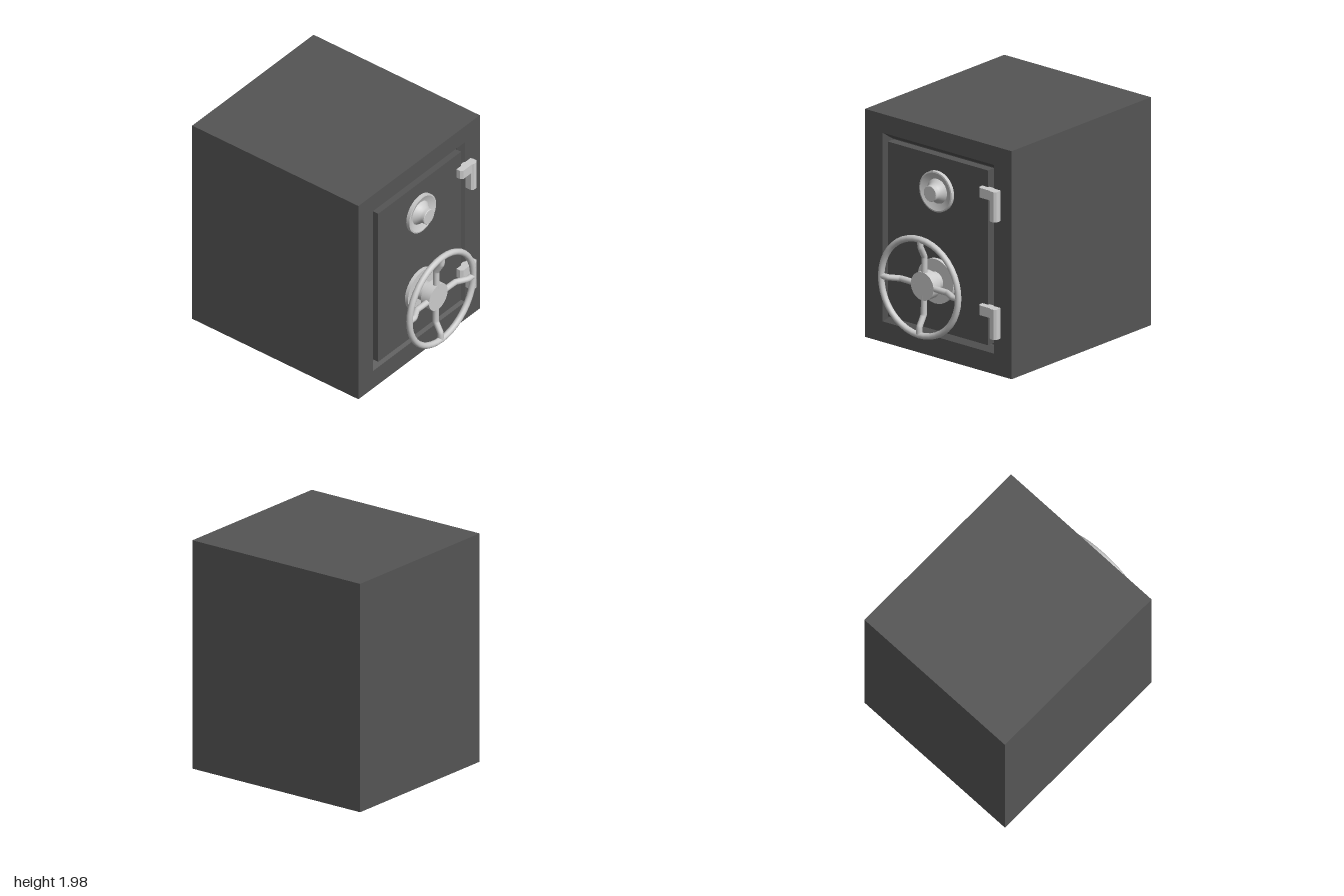
import * as THREE from 'three';
import { toCreasedNormals } from 'three/addons/utils/BufferGeometryUtils.js';

const steel = new THREE.MeshStandardMaterial({ color: 0xcccccc });
const iron = new THREE.MeshStandardMaterial({ color: 0x555555 });
const FRONT = 0.74; // z of the cabinet face

function part(parent, name, geometry, material = steel) {
  const mesh = new THREE.Mesh(geometry, material);
  mesh.name = name;
  parent.add(mesh);
  return mesh;
}

// Closed surface through rectangles [halfWidth, bottom, top, z], capped at both ends
function rectLoft(sections) {
  const position = [], index = [];
  for (const [w, b, t, z] of sections) position.push(-w, b, z, w, b, z, w, t, z, -w, t, z);
  for (let s = 0; s < sections.length - 1; s++) {
    for (let i = 0; i < 4; i++) {
      const a = s * 4 + i, b = s * 4 + (i + 1) % 4;
      index.push(a, b, b + 4, a, b + 4, a + 4);
    }
  }
  const e = (sections.length - 1) * 4;
  index.push(0, 2, 1, 0, 3, 2, e, e + 1, e + 2, e, e + 2, e + 3);
  const g = new THREE.BufferGeometry();
  g.setAttribute('position', new THREE.Float32BufferAttribute(position, 3));
  g.setIndex(index);
  const flat = g.toNonIndexed();
  flat.computeVertexNormals();
  return flat;
}

// Turned part whose axis points forward; profile is [radius, z] from back to front
function turned(profile, segments = 32) {
  const g = new THREE.LatheGeometry(profile.map(p => new THREE.Vector2(...p)), segments);
  g.rotateX(Math.PI / 2);
  return toCreasedNormals(g, 0.5);
}

function makeDial() {
  const dial = new THREE.Group();
  dial.name = 'combinationDial';
  dial.position.set(0, 1.45, FRONT);
  // Dished ring
  part(dial, 'dialRing', turned([[0.175, 0], [0.175, 0.038], [0.163, 0.04], [0.105, 0.015], [0, 0.015]]));
  // Flared knob
  part(dial, 'dialKnob', turned([[0.108, 0.014], [0.085, 0.04], [0.07, 0.065], [0.068, 0.08], [0.068, 0.102], [0.064, 0.106], [0, 0.106]]));
  return dial;
}

function makeWheel() {
  const wheel = new THREE.Group();
  wheel.name = 'handWheel';
  wheel.position.set(0, 0.675, 0);
  wheel.rotation.z = -0.017;
  part(wheel, 'wheelFlange', turned([[0.192, FRONT], [0.192, 0.778], [0, 0.778]]));
  part(wheel, 'wheelShaft', turned([[0.085, 0.77], [0.085, 0.86]]));
  part(wheel, 'wheelHub', turned([[0, 0.855], [0.122, 0.855], [0.122, 0.942], [0, 0.942]]));
  part(wheel, 'wheelRim', new THREE.TorusGeometry(0.415, 0.027, 12, 40)).position.z = 0.973;

  // Cranked spokes
  const path = new THREE.CatmullRomCurve3([
    [0.08, 0.917], [0.24, 0.917], [0.26, 0.922], [0.34, 0.966], [0.36, 0.971], [0.41, 0.973],
  ].map(([r, z]) => new THREE.Vector3(r, 0, z)), false, 'catmullrom', 0.3);
  const spoke = new THREE.TubeGeometry(path, 24, 0.026, 12);
  for (let i = 0; i < 4; i++) part(wheel, 'wheelSpoke', spoke).rotation.z = i * Math.PI / 2;
  return wheel;
}

// Horizontal slice outline (x, forward) extruded upward by height
function slab(outline, height) {
  const shape = new THREE.Shape(outline.map(([x, z]) => new THREE.Vector2(x, -z)));
  const g = new THREE.ExtrudeGeometry(shape, { depth: height, bevelEnabled: false });
  g.rotateX(-Math.PI / 2);
  return g;
}

function makeHinge(top) {
  const hinge = new THREE.Group();
  hinge.name = 'hinge';
  hinge.position.set(0, top, FRONT);
  // Strap reaching over the door
  const strap = slab([[0.48, -0.01], [0.48, 0.045], [0.497, 0.064], [0.64, 0.064], [0.64, -0.01]], 0.084);
  part(hinge, 'hingeStrap', strap).position.y = -0.084;
  // Chamfered barrel
  const barrel = slab([[0.604, -0.01], [0.604, 0.058], [0.622, 0.074], [0.658, 0.074],
    [0.677, 0.058], [0.677, 0.02], [0.665, -0.01]], 0.262);
  part(hinge, 'hingeBarrel', barrel).position.y = -0.262;
  return hinge;
}

export function createModel() {
  const safe = new THREE.Group();
  safe.name = 'safe';

  // Cabinet with a bevelled door opening
  part(safe, 'cabinet', rectLoft([
    [0.79, 0, 1.975, -1], [0.79, 0, 1.975, FRONT], [0.6, 0.178, 1.812, FRONT],
    [0.555, 0.222, 1.768, 0.69], [0.555, 0.222, 1.768, 0.67],
  ]), iron);

  // Door with a stepped edge
  part(safe, 'door', rectLoft([
    [0.54, 0.238, 1.752, 0.66], [0.54, 0.238, 1.752, 0.746],
  ]), iron);

  safe.add(makeDial(), makeWheel(), makeHinge(1.608), makeHinge(0.59));
  return safe;
}
